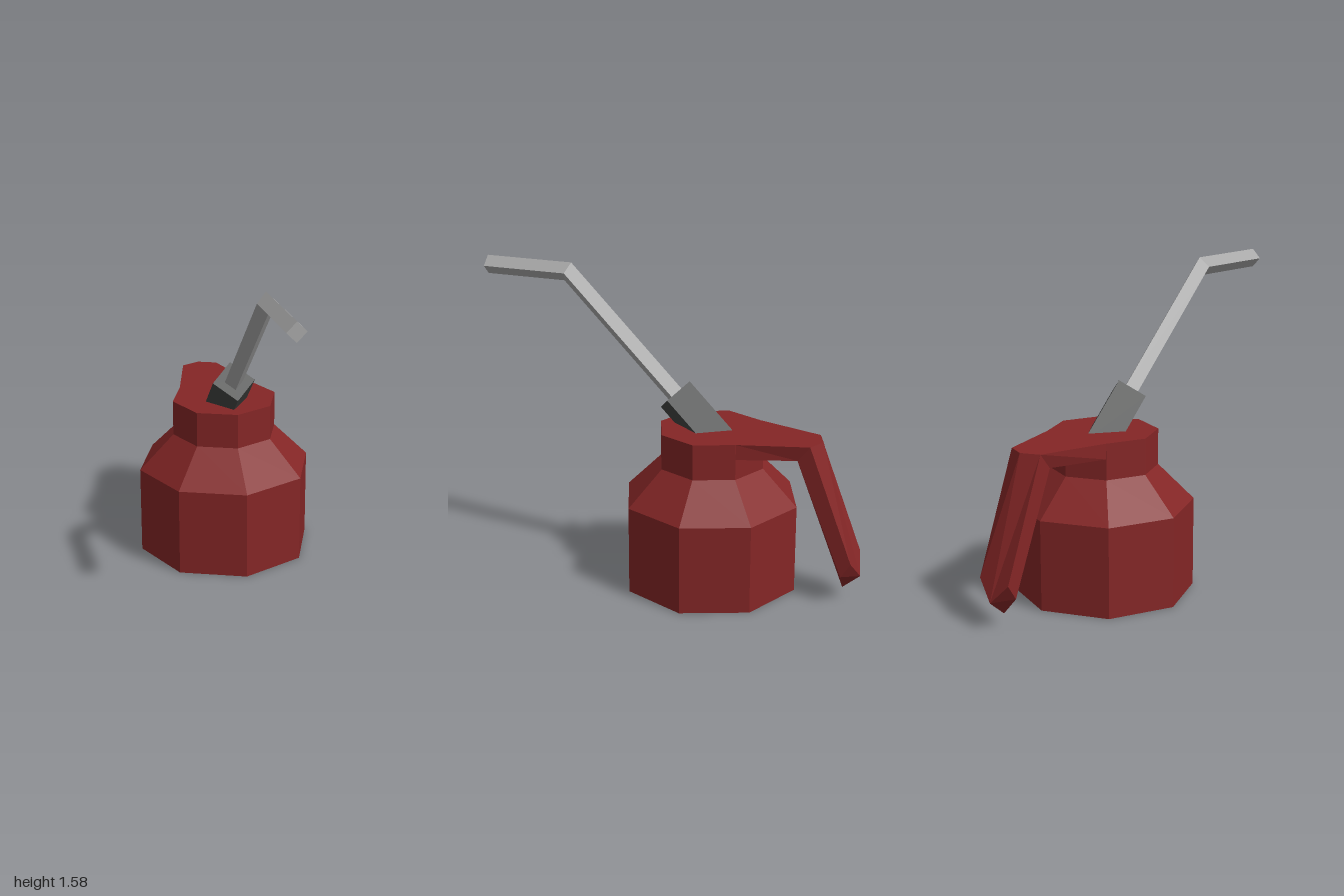
import * as THREE from 'three';

// Skin a list of matching closed rings, with both ends capped
function loft(rings) {
  const pos = [];
  const tri = (...pts) => pts.forEach((p) => pos.push(...p));
  const n = rings[0].length;
  for (let r = 0; r < rings.length - 1; r++) {
    const a = rings[r], b = rings[r + 1];
    for (let i = 0; i < n; i++) {
      const j = (i + 1) % n;
      tri(a[i], a[j], b[j]);
      tri(a[i], b[j], b[i]);
    }
  }
  const first = rings[0], last = rings[rings.length - 1];
  for (let i = 1; i < n - 1; i++) {
    tri(first[0], first[i + 1], first[i]);
    tri(last[0], last[i], last[i + 1]);
  }
  const geo = new THREE.BufferGeometry();
  geo.setAttribute('position', new THREE.Float32BufferAttribute(pos, 3));
  geo.computeVertexNormals();
  return geo;
}

// Flat-faced version of an indexed geometry
function faceted(geo) {
  const g = geo.toNonIndexed();
  g.computeVertexNormals();
  return g;
}

export function createModel() {
  const group = new THREE.Group();
  const paint = (name, color) => {
    const m = new THREE.MeshStandardMaterial({ color });
    m.name = name;
    m.flatShading = true;
    return m;
  };
  const red = paint('red enamel', 0x842626);
  const dark = paint('dark metal', 0x424443);
  const steel = paint('light steel', 0xa8a8a8);

  const add = (name, geo, mat) => {
    const mesh = new THREE.Mesh(geo, mat);
    mesh.name = name;
    group.add(mesh);
    return mesh;
  };

  // Eight-sided can with sloping shoulder and neck
  const profile = [[0, 0], [0.448, 0], [0.448, 0.45], [0.27, 0.63], [0.27, 0.81], [0, 0.81]]
    .map(([x, y]) => new THREE.Vector2(x, y));
  add('canBody', faceted(new THREE.LatheGeometry(profile, 8)), red).position.z = -0.211;

  // Lever handle: each section has a ridge in the middle of its outer and inner side
  // [half width, outer mid y z, outer corner y z, inner corner y z, inner mid y z]
  const section = ([w, my, mz, oy, oz, iy, iz, ny, nz]) => [
    [0, my, mz], [w, oy, oz], [w, iy, iz], [0, ny, nz], [-w, iy, iz], [-w, oy, oz],
  ];
  add('leverHandle', loft([
    [0.19, 0.81, -0.402, 0.81, -0.402, 0.733, -0.402, 0.733, -0.402],
    [0.093, 0.81, -0.783, 0.81, -0.743, 0.733, -0.682, 0.733, -0.682],
    [0.093, 0.136, -0.994, 0.233, -0.965, 0.158, -0.917, 0.061, -0.906],
  ].map(section)), red);

  // Square collar tilted forward at 45 degrees, its lower end sunk in the neck
  const length = 0.37;
  const collar = new THREE.CylinderGeometry(0.108, 0.108, length, 4);
  collar.translate(0, -length / 2, 0);
  collar.rotateX(Math.PI / 4);
  add('spoutCollar', faceted(collar), dark).position.set(0, 0.96, -0.017);

  // Bent square spout: centre y z, then the offset of its top edge in y z
  const r = 0.047;
  const diamond = ([y, z, dy, dz]) => [
    [r, y, z], [0, y + dy, z + dz], [-r, y, z], [0, y - dy, z - dz],
  ];
  const d = r * Math.SQRT1_2;
  add('spout', loft([
    [0.94, -0.037, d, -d],
    [1.532, 0.555, r, -0.0195],
    [1.532, 1, r, 0],
  ].map(diamond)), steel);

  return group;
}
